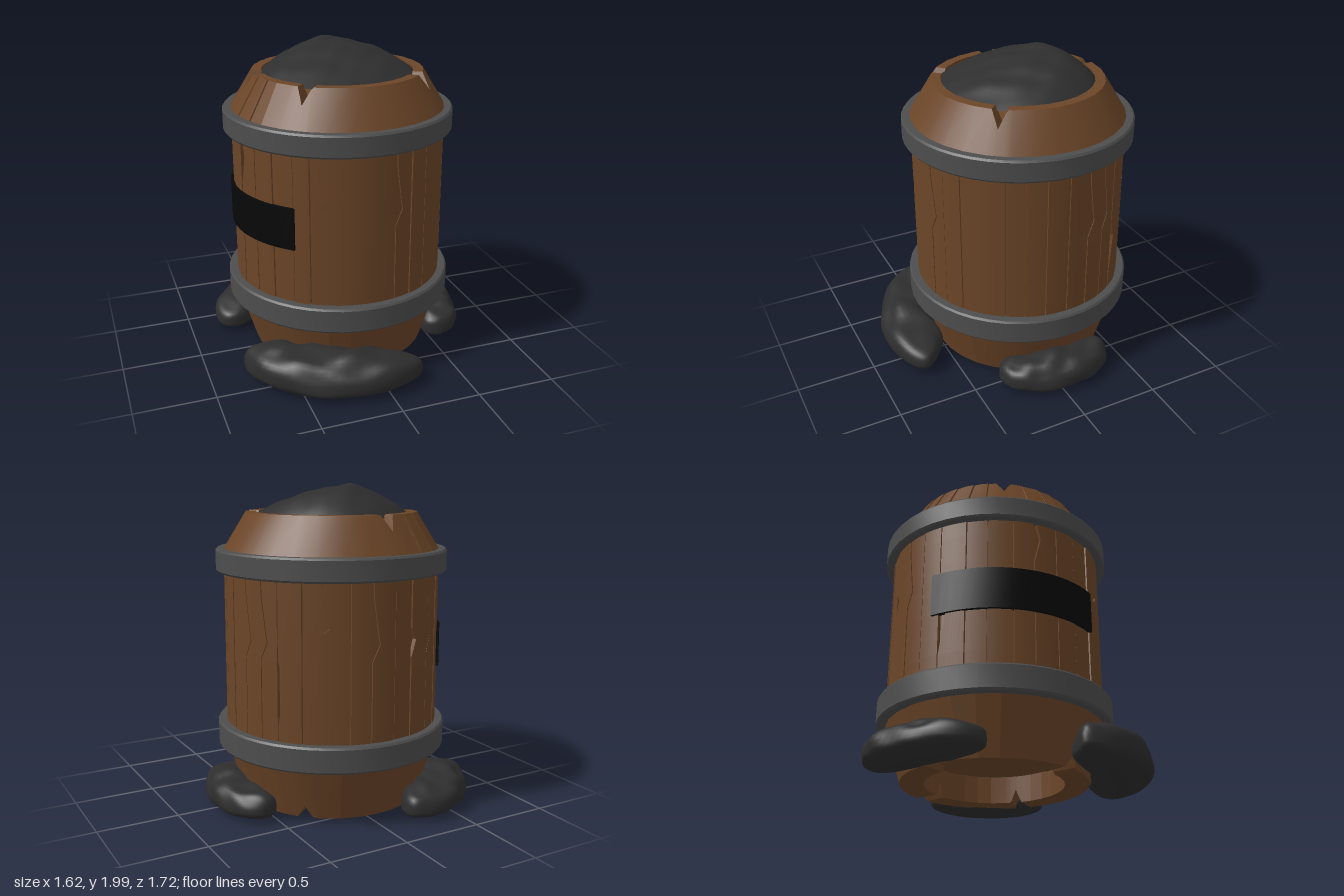
import * as THREE from 'three';
import { mergeVertices, toCreasedNormals, mergeGeometries } from 'three/addons/utils/BufferGeometryUtils.js';

const AXIS_X = -0.035, AXIS_Z = -0.065; // barrel axis
const rad = THREE.MathUtils.degToRad;
const wood = new THREE.MeshStandardMaterial({ color: 0x6b4527 });
const iron = new THREE.MeshStandardMaterial({ color: 0x4d4d4d });
const coal = new THREE.MeshStandardMaterial({ color: 0x2e2e2e });
const black = new THREE.MeshStandardMaterial({ color: 0x080808 });

let seed = 7;
const rand = () => (seed = (seed * 16807) % 2147483647) / 2147483647;

// Point at an angle round the barrel: 0 is the front, 90 degrees is +x
const polar = (t, r, y) => [r * Math.sin(t), y, r * Math.cos(t)];

// Grid surface; fn(i, j) gives a point, i runs round and j runs up the outside
function surface(nu, nv, fn) {
  const pos = [], index = [];
  for (let j = 0; j <= nv; j++) for (let i = 0; i <= nu; i++) pos.push(...fn(i, j));
  for (let j = 0; j < nv; j++) for (let i = 0; i < nu; i++) {
    const a = j * (nu + 1) + i, c = a + nu + 1;
    index.push(a, a + 1, c + 1, a, c + 1, c);
  }
  const g = new THREE.BufferGeometry();
  g.setAttribute('position', new THREE.Float32BufferAttribute(pos, 3));
  g.setIndex(index);
  return g;
}

const bumps = (x, y, z) =>
  Math.sin(x * 11 + z * 5 + 1) * Math.sin(z * 13 - y * 7) * 0.6 +
  Math.sin(x * 23 + y * 17) * Math.sin(z * 21 + x * 6 + 2) * 0.4;

function add(parent, name, geometry, material) {
  const mesh = new THREE.Mesh(geometry, material);
  mesh.name = name;
  parent.add(mesh);
  return mesh;
}

// Tapered barrel end: rim points slide along the taper at notches, seams are shallow grooves
function collar(profile, notches, slide, seams) {
  const angles = [];
  for (let d = 0; d < 360; d += 12) {
    if (notches.every(n => Math.abs(n - d) > 6) && seams.every(n => Math.abs(n - d) > 1)) angles.push([d, 0, 0]);
  }
  for (const n of notches) angles.push([n - 5, 0, 0], [n - 1.5, 0.65, 0], [n, 1, 0], [n + 4, 0.15, 0], [n + 5.5, 0, 0]);
  for (const n of seams) angles.push([n - 0.4, 0, 0], [n, 0, 0.014], [n + 0.4, 0, 0.005]);
  angles.sort((a, b) => a[0] - b[0]);
  angles.push([angles[0][0] + 360, angles[0][1], angles[0][2]]);
  const g = surface(angles.length - 1, profile.length - 1, (i, j) => {
    const [r, y, moves] = profile[j], [d, depth, groove] = angles[i];
    return polar(rad(d), r + (moves === 2 ? slide[0] * depth : 0) - (r > 0.5 ? groove : 0), y + (moves ? slide[1] * depth : 0));
  });
  return toCreasedNormals(g, 0.18);
}

// Planks of uneven width with jagged, chipped seams
function staves() {
  const rows = [0.42, 0.62, 0.88, 1.0, 1.1, 1.17, 1.2, 1.36, 1.54];
  const bend = [0, 0, 0, 0, 0.07, 0.05, 0.045, 0.01, 0];
  const edges = [-54, -42, -33, 12, 22, 33, 57, 67, 78, 90, 102, 113, 123,
    136, 146, 160, 171, 184, 195, 209, 221, 232, 246, 257, 270, 281, 294];
  const jagged = [12, 102, 113, 171, 209], chipped = { '-33': 5, 123: 2, 146: 6, 195: 4, 232: 2, 281: 7 };
  const seams = edges.map(d => rows.map((y, j) => ({
    t: rad(d) + (jagged.includes(d) ? bend[j] : 0),
    gap: 0.005 + (j === chipped[d] ? 0.06 : 0),
  })));
  const parts = edges.map((d, k) => {
    const r = 0.662 + rand() * 0.007, next = seams[(k + 1) % edges.length];
    const turn = k === edges.length - 1 ? Math.PI * 2 : 0;
    return surface(8, rows.length - 1, (i, j) => {
      const a = seams[k][j].t + seams[k][j].gap, b = next[j].t + turn - 0.004;
      const s = THREE.MathUtils.clamp((i - 1) / 6, 0, 1);
      return polar(a + (b - a) * s, i === 0 || i === 8 ? 0.63 : r, rows[j]);
    });
  });
  return toCreasedNormals(mergeGeometries(parts), 0.3);
}

function hoop(y0, y1, r) {
  const p = [[0.65, y0], [r - 0.01, y0], [r, y0 + 0.012], [r, y1 - 0.012], [r - 0.01, y1], [0.65, y1]];
  return toCreasedNormals(new THREE.LatheGeometry(p.map(q => new THREE.Vector2(...q)), 44), 0.4);
}

// Lumpy blunt-ended heap bent round the foot of the barrel; lean raises its start
function heap(centre, half, radius, width, height, lean, shift) {
  const g = new THREE.SphereGeometry(1, 48, 36);
  g.rotateZ(Math.PI / 2);
  g.deleteAttribute('uv');
  g.deleteAttribute('normal');
  const p = g.attributes.position;
  const blunt = v => Math.sign(v) * Math.pow(Math.abs(v), 0.85);
  for (let i = 0; i < p.count; i++) {
    const x = p.getX(i);
    const full = Math.pow(Math.max(1 - x * x, 1e-4), -0.2);
    const y = p.getY(i) * full, z = p.getZ(i) * full;
    const b = bumps(x * 0.5 + shift, y * 0.25, z * 0.25);
    const t = rad(centre + half * x * (1 + 0.06 * Math.sin(z * 4 + shift)));
    const r = radius + blunt(z) * width * (1 + 0.1 * b);
    const h = blunt(y) * height * (y > 0 ? 0.6 * (1 + 0.2 * b - lean * x) : 0.36);
    p.setXYZ(i, ...polar(t, r, height * 0.37 + h));
  }
  const out = mergeVertices(g, 1e-4);
  out.computeVertexNormals();
  return out;
}

// Mound in the barrel mouth, peaking towards the back
function mound() {
  const g = surface(56, 18, (i, j) => {
    const t = i / 56 * Math.PI * 2, s = 1 - j / 18;
    const [x, , z] = polar(t, 0.48 * s, 0);
    const fall = Math.min(1, Math.hypot(x, z + 0.09 * (1 - s * s)) / 0.48);
    const peak = 0.03 * Math.exp(-(x * x + (z + 0.16) ** 2) / 0.018);
    const lumps = 0.014 * bumps(x * 1.2, 0, z * 1.2) * (1 - s * s * 0.5);
    const y = 1.795 + 0.165 * (1 - Math.pow(fall, 2.3)) + peak + lumps;
    return [x, Math.min(y, 2), z - 0.04 * (1 - s)];
  });
  const out = mergeVertices(g, 1e-4);
  out.computeVertexNormals();
  return out;
}

// Blank curved plate on the side of the barrel
function plate(a0, a1, y0, y1) {
  const profile = [[0.655, y0], [0.684, y0], [0.684, y1], [0.655, y1]];
  const n = 18;
  const g = surface(n + 2, 3, (i, j) => {
    const s = THREE.MathUtils.clamp((i - 1) / n, 0, 1);
    const end = i === 0 || i === n + 2;
    return polar(rad(a0 + (a1 - a0) * s), end ? 0.655 : profile[j][0], profile[j][1]);
  });
  return toCreasedNormals(g, 0.4);
}

export function createModel() {
  const model = new THREE.Group();
  model.name = 'coalBarrel';
  const barrel = new THREE.Group();
  barrel.name = 'barrel';
  barrel.position.set(AXIS_X, 0, AXIS_Z);
  model.add(barrel);

  // Wooden body
  add(barrel, 'staves', staves(), wood);
  add(barrel, 'core', new THREE.CylinderGeometry(0.642, 0.642, 1.1, 48, 1, true).translate(0, 0.98, 0), wood);
  add(barrel, 'topCollar', collar(
    [[0.665, 1.5], [0.665, 1.6], [0.53, 1.82, 2], [0.468, 1.82, 1], [0.468, 1.68], [0, 1.68]],
    [52, 187, 266, 321], [0.058, -0.095], [202, 213, 223, 234, 246, 256, 279, 291]), wood);
  add(barrel, 'bottomCollar', collar(
    [[0, 0.2], [0.42, 0.2], [0.42, 0.03, 1], [0.565, 0.03, 2], [0.668, 0.37], [0.668, 0.46]],
    [62, 135, 222, 310], [0.026, 0.085], []), wood);

  // Iron hoops
  add(barrel, 'lowerHoop', hoop(0.36, 0.52, 0.722), iron);
  add(barrel, 'upperHoop', hoop(1.46, 1.6, 0.718), iron);

  add(barrel, 'sidePlate', plate(-132, -41, 0.87, 1.13), black);

  // Coal
  add(barrel, 'coalMound', mound(), coal);
  add(barrel, 'frontHeap', heap(-22, 40, 0.755, 0.19, 0.255, 0.16, 0.2), coal);
  add(barrel, 'backHeap', heap(-136, 32, 0.71, 0.175, 0.21, 0, 1.3), coal);
  add(barrel, 'sideHeap', heap(86, 31, 0.67, 0.155, 0.215, 0.1, 2.1), coal);
  return model;
}
